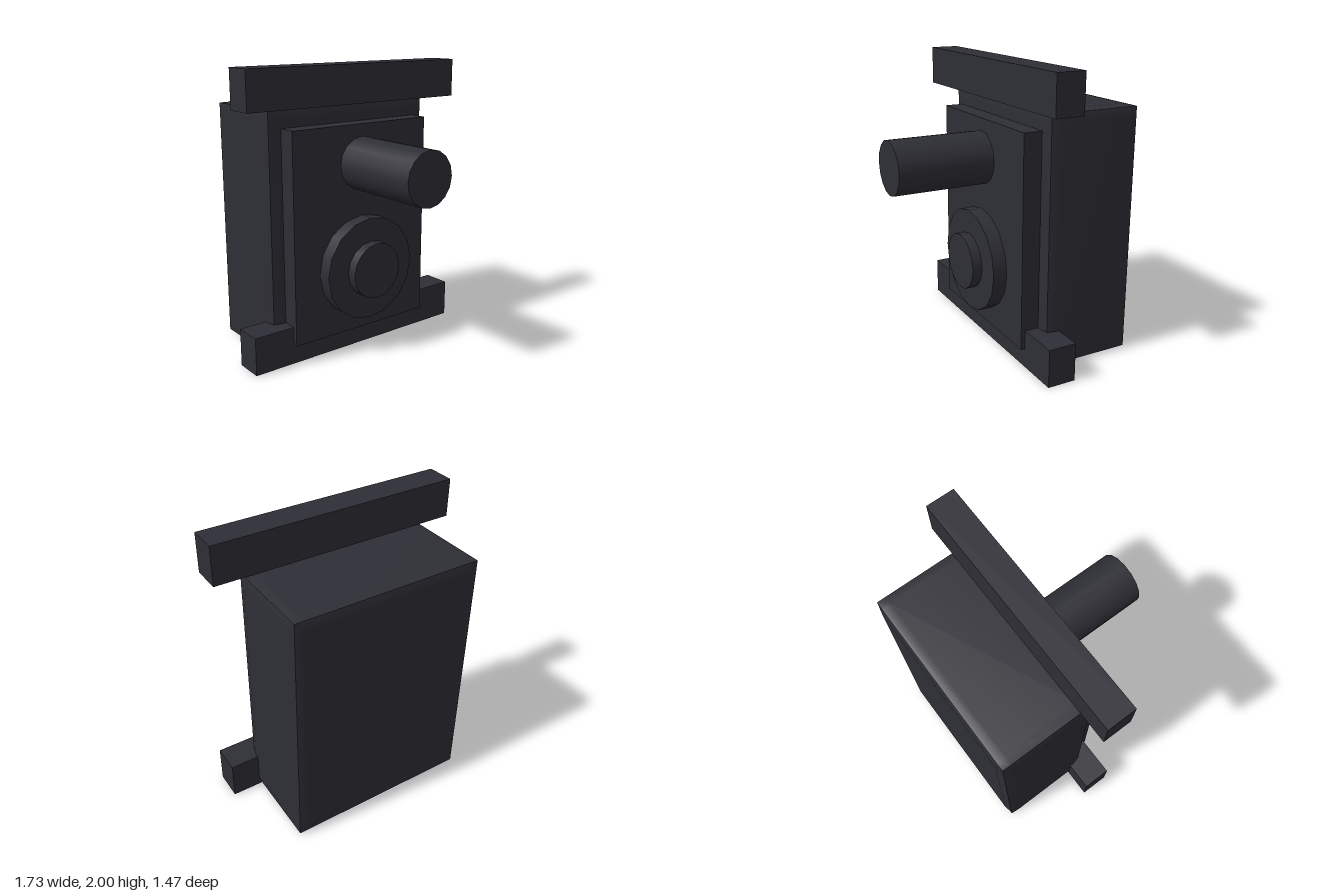
import * as THREE from 'three';

export function createModel() {
  const model = new THREE.Group();
  const charcoal = new THREE.MeshStandardMaterial({ color: 0x2e2e36 });
  charcoal.name = 'charcoal';

  function add(name, geometry, x, y, z) {
    const mesh = new THREE.Mesh(geometry, charcoal);
    mesh.name = name;
    mesh.position.set(x, y, z);
    model.add(mesh);
    return mesh;
  }

  // Box whose faces bulge slightly: border vertices are pulled in
  function softBox(w, h, d, border, inset) {
    const geometry = new THREE.BoxGeometry(w, h, d, 3, 3, 3);
    const p = geometry.attributes.position;
    const half = [w / 2, h / 2, d / 2];
    for (let i = 0; i < p.count; i++) {
      const v = [p.getX(i), p.getY(i), p.getZ(i)];
      const outer = v.map((c, k) => Math.abs(c) > half[k] - 1e-4);
      const onEdge = outer.filter(Boolean).length > 1;
      const q = v.map((c, k) =>
        Math.sign(c) * (half[k] - (outer[k] ? (onEdge ? inset : 0) : border)));
      p.setXYZ(i, ...q);
    }
    geometry.computeVertexNormals();
    return geometry;
  }

  // Cylinder pointing forward between two depths
  function addDisc(name, radius, y, back, front) {
    const geometry = new THREE.CylinderGeometry(radius, radius, front - back, 16);
    geometry.rotateX(Math.PI / 2);
    add(name, geometry, 0, y, (back + front) / 2);
  }

  // Main housing
  add('housing', softBox(1.33, 1.735, 0.67, 0.075, 0.014), 0, 0.8675, -0.4);

  // Front plate
  add('frontPlate', new THREE.BoxGeometry(1.13, 1.47, 0.14), 0, 0.87, -0.005);

  // Mounting bars above and below
  for (const [name, y] of [['topBar', 1.868], ['bottomBar', 0.133]]) {
    add(name, new THREE.BoxGeometry(1.73, 0.266, 0.2), 0, y, -0.065);
  }

  // Long peg and stepped knob
  addDisc('peg', 0.185, 1.335, 0.05, 0.735);
  addDisc('knobBase', 0.365, 0.603, 0.05, 0.165);
  addDisc('knobCap', 0.198, 0.603, 0.15, 0.235);

  return model;
}
